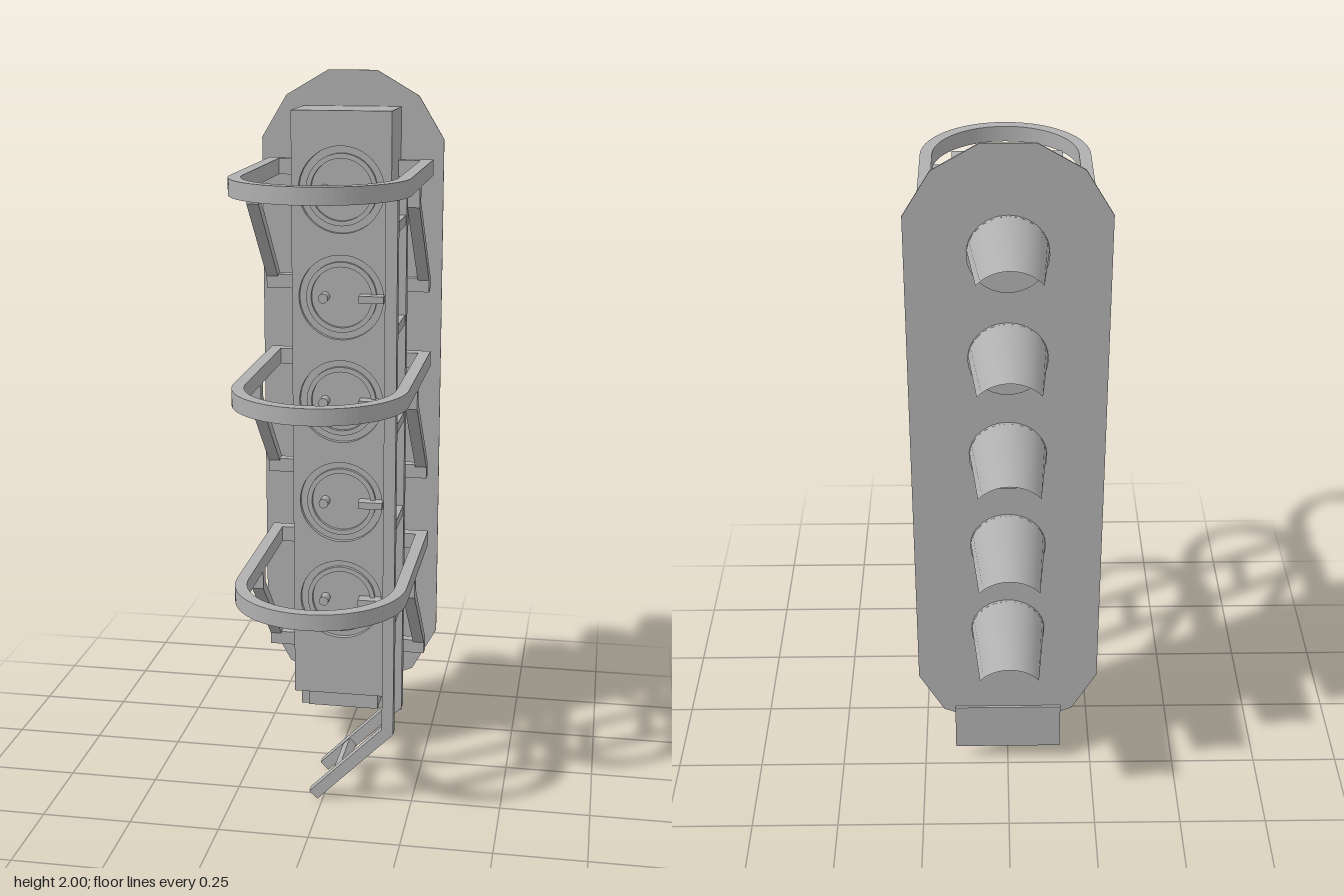
import * as THREE from 'three';

export function createModel() {
  const model = new THREE.Group();
  const grey = new THREE.MeshStandardMaterial({ color: 0xb0b0b0, side: THREE.DoubleSide });
  grey.name = 'painted steel grey';

  const add = (name, geometry, parent = model) => {
    const mesh = new THREE.Mesh(geometry, grey);
    mesh.name = name;
    parent.add(mesh);
    return mesh;
  };
  // Box given by its lower and upper limits on each axis
  const box = (name, [x0, x1], [y0, y1], [z0, z1], parent) => {
    const mesh = add(name, new THREE.BoxGeometry(x1 - x0, y1 - y0, z1 - z0), parent);
    mesh.position.set((x0 + x1) / 2, (y0 + y1) / 2, (z0 + z1) / 2);
    return mesh;
  };
  const outline = (points) => new THREE.Shape(points.map(([x, y]) => new THREE.Vector2(x, y)));
  const extrude = (shape, depth) =>
    new THREE.ExtrudeGeometry(shape, { depth, bevelEnabled: false, curveSegments: 24 });

  const lampHeights = [0.485, 0.785, 1.085, 1.385, 1.685];

  // Housing: solid rear with a front skin pierced by round door recesses
  const front = outline([[-0.14, 0.185], [0.14, 0.185], [0.14, 1.9], [-0.14, 1.9]]);
  for (const y of lampHeights) {
    const hole = new THREE.Path();
    hole.absarc(0, y, 0.12, 0, Math.PI * 2, true);
    front.holes.push(hole);
  }
  add('housingFront', extrude(front, 0.015)).position.z = -0.045;
  box('housing', [-0.14, 0.14], [0.185, 1.9], [-0.222, -0.045]);
  box('cableBox', [-0.105, 0.105], [0.125, 0.185], [-0.222, -0.07]);

  // Backing board with clipped corners
  const half = [[0.07, 0.15], [0.19, 0.2], [0.262, 0.33], [0.262, 1.81], [0.19, 1.93], [0.07, 2]];
  const board = outline([...half, ...half.map(([x, y]) => [-x, y]).reverse()]);
  add('backingBoard', extrude(board, 0.005)).position.z = -0.226;
  box('lowerPlate', [-0.157, 0.157], [0.055, 0.21], [-0.234, -0.226]);

  // Hood: a half tube cut back on a slope, narrower at the tip
  const hoodGeometry = () => {
    const steps = 12, r = 0.105, positions = [], index = [];
    for (let i = 0; i <= steps; i++) {
      const t = (i / steps) * 2 - 1;
      for (const [spread, z] of [[1.45, -0.226], [0.866, -0.53]]) {
        positions.push(r * Math.sin(t * spread), r * Math.cos(t * spread), z);
      }
      if (i < steps) index.push(2 * i, 2 * i + 2, 2 * i + 1, 2 * i + 1, 2 * i + 2, 2 * i + 3);
    }
    const g = new THREE.BufferGeometry();
    g.setAttribute('position', new THREE.Float32BufferAttribute(positions, 3));
    g.setIndex(index);
    g.computeVertexNormals();
    return g;
  };

  // Lamps: hood and lens at the back, door with handle and knob at the front
  for (const y of lampHeights) {
    const lamp = new THREE.Group();
    lamp.name = 'lamp';
    model.add(lamp);
    add('hood', hoodGeometry(), lamp).position.y = y + 0.023;
    const lens = add('lens', new THREE.CylinderGeometry(0.105, 0.105, 0.008, 32), lamp);
    lens.rotation.x = Math.PI / 2;
    lens.position.set(0, y + 0.023, -0.23);

    const ring = new THREE.Shape().absarc(0, 0, 0.1, 0, Math.PI * 2);
    ring.holes.push(new THREE.Path().absarc(0, 0, 0.086, 0, Math.PI * 2, true));
    add('doorRing', extrude(ring, 0.012), lamp).position.set(0, y, -0.045);

    const knob = add('doorKnob', new THREE.CylinderGeometry(0.014, 0.014, 0.037, 12), lamp);
    knob.rotation.x = Math.PI / 2;
    knob.position.set(-0.048, y, -0.0265);
    box('doorHandle', [0.053, 0.123], [y - 0.01, y + 0.01], [-0.045, -0.008], lamp);
  }

  // Safety hoops, drawn in plan and laid flat
  const hoopShape = () => {
    const s = new THREE.Shape();
    s.moveTo(0.235, -0.2);
    s.lineTo(0.235, 0.29);
    s.absarc(0, 0.29, 0.235, 0, Math.PI, false);
    s.lineTo(-0.235, -0.2);
    s.lineTo(-0.14, -0.2);
    s.lineTo(-0.14, -0.165);
    s.lineTo(-0.202, -0.165);
    s.lineTo(-0.202, 0.29);
    s.absarc(0, 0.29, 0.202, Math.PI, 0, true);
    s.lineTo(0.202, -0.165);
    s.lineTo(0.14, -0.165);
    s.lineTo(0.14, -0.2);
    return s;
  };
  // Brace profile in (z, y) measured from the underside of the hoop
  const brace = outline([[0.11, 0], [0.11, -0.052], [-0.135, -0.288], [-0.135, -0.322],
    [-0.165, -0.322], [-0.165, -0.28], [0.08, -0.04], [0.08, 0]]);

  for (const y of [0.61, 1.16, 1.711]) {
    const hoop = new THREE.Group();
    hoop.name = 'hoop';
    hoop.position.y = y;
    model.add(hoop);
    const ring = add('hoopRing', extrude(hoopShape(), 0.045), hoop);
    ring.rotation.x = Math.PI / 2;
    ring.position.y = 0.045;
    for (const side of [-1, 1]) {
      const arm = add('hoopBrace', extrude(brace, 0.033), hoop);
      arm.rotation.y = -Math.PI / 2;
      arm.position.x = side > 0 ? 0.235 : -0.202;
      const xs = side > 0 ? [0.14, 0.21] : [-0.21, -0.14];
      box('braceFoot', xs, [-0.322, -0.282], [-0.165, -0.135], hoop);
    }
  }

  // Ladder with its foot kicked inward
  const rail = outline([[0.2, 1.73], [0.168, 1.73], [0.168, 0.228], [-0.038, 0.022],
    [-0.015, 0], [0.2, 0.215]]);
  for (const z of [0.072, 0.252]) {
    add('ladderRail', extrude(rail, 0.03)).position.z = z;
  }
  for (const y of [0.545, 0.815, 1.085, 1.355, 1.625]) {
    box('ladderRung', [0.17, 0.198], [y - 0.013, y + 0.013], [0.1, 0.254]);
  }
  const lowRung = box('ladderRung', [0.034, 0.062], [0.074, 0.1], [0.1, 0.254]);
  lowRung.rotation.z = Math.PI / 4;

  return model;
}
